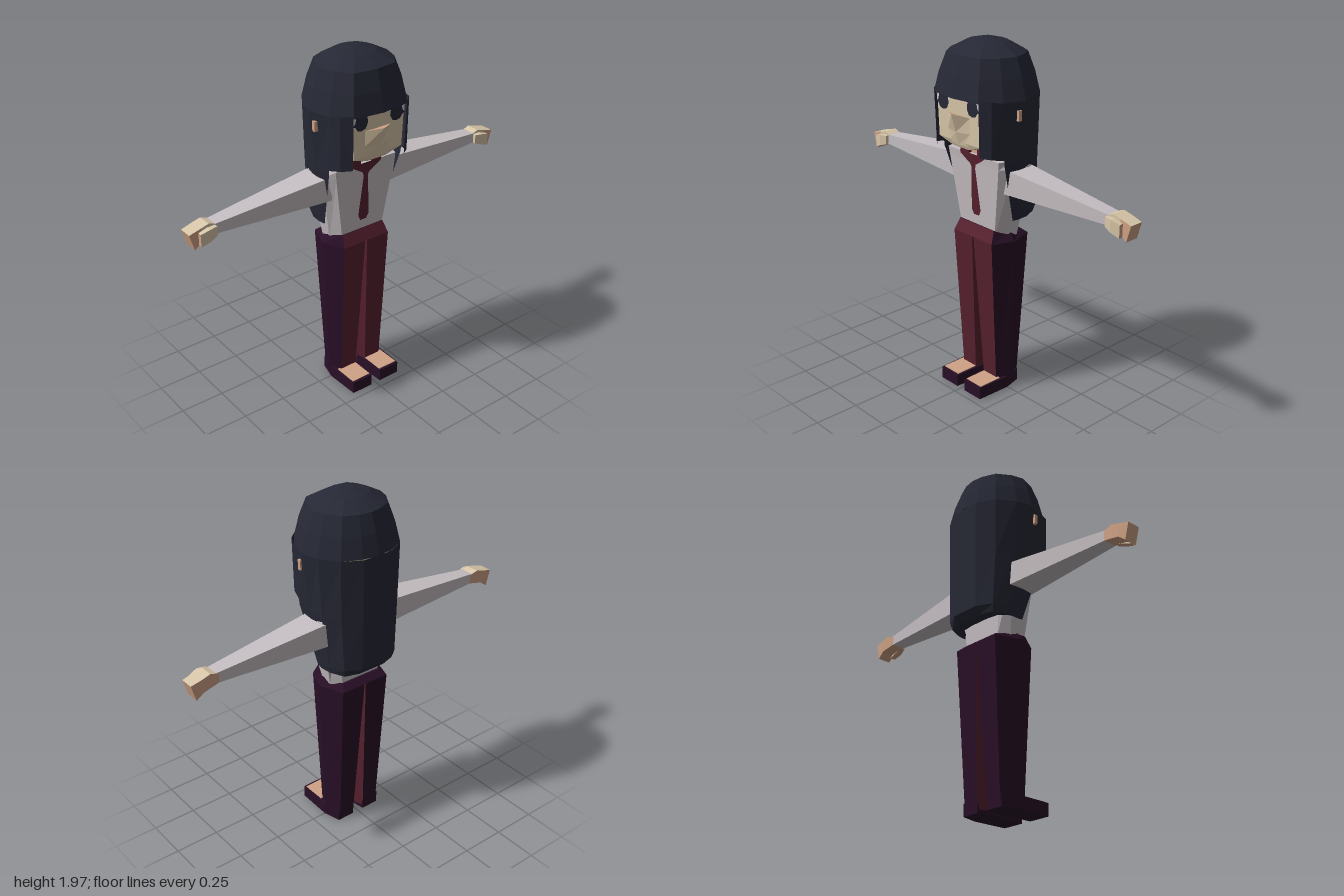
import * as THREE from 'three';

const mat = (name, color, side = THREE.FrontSide) => {
  const m = new THREE.MeshStandardMaterial({ color, side });
  m.name = name;
  return m;
};

export function createModel() {
  const hair = mat('hair', 0x262835, THREE.DoubleSide);
  const skin = mat('skin', 0xd8c6a8);
  const warm = mat('warmSkin', 0xcfa285);
  const shirt = mat('shirt', 0xc5bec2);
  const maroon = mat('maroon', 0x57212f, THREE.DoubleSide);
  const dark = mat('darkPurple', 0x290f27);
  const eyeWhite = mat('eyeWhite', 0xc9c9d0, THREE.DoubleSide);

  const model = new THREE.Group();
  model.name = 'figure';

  function add(name, geometry, material) {
    const mesh = new THREE.Mesh(geometry, material);
    mesh.name = name;
    model.add(mesh);
    return mesh;
  }

  // Faceted skin over matching rings; pick(ring, side) returns a material index.
  function loft(name, rings, mats, pick = () => 0, open = false) {
    const tris = mats.map(() => []);
    const n = rings[0].length;
    for (let r = 0; r < rings.length - 1; r++) {
      for (let i = 0; i < (open ? n - 1 : n); i++) {
        const j = (i + 1) % n, A = rings[r], B = rings[r + 1];
        tris[pick(r, i)].push(A[i], A[j], B[j], A[i], B[j], B[i]);
      }
    }
    if (!open) {
      const top = rings[rings.length - 1], bottom = rings[0];
      for (let i = 1; i < n - 1; i++) {
        tris[pick('top', i)].push(top[0], top[i], top[i + 1]);
        tris[pick('bottom', i)].push(bottom[0], bottom[i + 1], bottom[i]);
      }
    }
    const g = new THREE.BufferGeometry();
    let start = 0;
    tris.forEach((t, k) => { g.addGroup(start, t.length, k); start += t.length; });
    g.setAttribute('position', new THREE.Float32BufferAttribute(tris.flat(2), 3));
    g.computeVertexNormals();
    return add(name, g, mats);
  }

  // Copy a left-hand part to the other side of x = 0, turning its triangles round again.
  function mirror(mesh, name) {
    const g = mesh.geometry.index ? mesh.geometry.toNonIndexed() : mesh.geometry.clone();
    const p = g.attributes.position;
    for (let i = 0; i < p.count; i += 3) {
      const v = [0, 2, 1].map(k => new THREE.Vector3().fromBufferAttribute(p, i + k));
      v.forEach((q, k) => p.setXYZ(i + k, -q.x, q.y, q.z));
    }
    g.computeVertexNormals();
    add(name, g, mesh.material);
  }
  const pair = (name, make) => mirror(make('left' + name), 'right' + name);

  function box(name, m, x0, x1, y0, y1, z0, z1) {
    const g = new THREE.BoxGeometry(x1 - x0, y1 - y0, z1 - z0);
    g.translate((x0 + x1) / 2, (y0 + y1) / 2, (z0 + z1) / 2);
    return add(name, g, m);
  }

  // Thin sheet whose depth depends on height
  function plate(name, m, pts, zAt) {
    const g = new THREE.ShapeGeometry(new THREE.Shape(pts.map(p => new THREE.Vector2(...p))));
    const p = g.attributes.position;
    for (let i = 0; i < p.count; i++) p.setZ(i, zAt(p.getY(i)));
    g.computeVertexNormals();
    return add(name, g, m);
  }

  // Symmetric ring from [x, z] (or [x, z, y]) points listed front to back on the left.
  const ring = (y, half) => [
    ...half.map(([x, z, h = y]) => [x, h, z]),
    ...half.slice().reverse().map(([x, z, h = y]) => [-x, h, z]),
  ];

  // Torso
  loft('torso', [
    ring(0.92, [[0.13, 0.07], [0.165, 0], [0.165, -0.06], [0.12, -0.11]]),
    ring(1.32, [[0.19, 0.1], [0.235, 0.04], [0.235, -0.09], [0.15, -0.12]]),
    ring(1.365, [[0.195, 0.105], [0.215, 0.05], [0.215, -0.08], [0.14, -0.11]]),
  ], [shirt]);

  // Collar and tie follow the sloping chest
  const chest = y => 0.076 + (y - 0.95) * 0.078;
  plate('tie', maroon, [[-0.03, 1.34], [-0.014, 1.29], [-0.035, 1.05], [-0.02, 1.02],
    [0.02, 1.02], [0.035, 1.05], [0.014, 1.29], [0.03, 1.34]], chest);
  plate('collarPoint', maroon, [[-0.095, 1.37], [-0.09, 1.355], [0, 1.3], [0.09, 1.355], [0.095, 1.37]],
    y => chest(y) + 0.003);
  pair('Collar', n => box(n, maroon, 0.034, 0.097, 1.36, 1.405, -0.05, 0.105));
  box('neck', warm, -0.036, 0.036, 1.35, 1.45, -0.04, 0.085);

  // Trouser hips: maroon in front, dark elsewhere
  loft('hips', [
    ring(0.9, [[0.15, 0.11], [0.2, -0.01], [0.15, -0.155]]),
    ring(0.95, [[0.135, 0.08, 0.965], [0.165, -0.01], [0.12, -0.12, 0.93]]),
  ], [dark, maroon], (r, i) => (r === 0 && i === 5 ? 1 : 0));

  // Legs: front and inner faces maroon
  const level = (y, points) => points.map(([x, z]) => [x, y, z]);
  pair('Leg', n => loft(n, [
    level(0.02, [[0.036, 0.058], [0.135, 0.058], [0.166, -0.01], [0.13, -0.1], [0.036, -0.1], [0.016, -0.02]]),
    level(0.9, [[0.006, 0.11], [0.15, 0.11], [0.2, -0.01], [0.15, -0.155], [0.004, -0.155], [0, -0.02]]),
  ], [dark, maroon], (r, i) => (r === 0 && (i === 0 || i >= 4) ? 1 : 0)));

  // Shoes with the bare top of the foot
  const sole = [[0.03, 0.205], [0.16, 0.205], [0.166, 0], [0.14, -0.1], [0.035, -0.1], [0.02, 0]];
  pair('Shoe', n => loft(n, [level(0, sole), level(0.07, sole)], [dark]));
  pair('FootTop', n => box(n, warm, 0.036, 0.154, 0.067, 0.074, 0.05, 0.192));

  // Sleeves and hands run outward along x
  const slab = (x, y0, y1, z0, z1, xt = x) => [[x, y0, z1], [x, y0, z0], [xt, y1, z0], [xt, y1, z1]];
  pair('Sleeve', n => loft(n, [
    slab(0.19, 1.185, 1.32, -0.108, 0.062),
    slab(0.86, 1.2, 1.255, -0.065, 0.012),
  ], [shirt]));
  pair('Hand', n => loft(n, [
    slab(0.84, 1.2, 1.25, -0.066, 0.008),
    slab(0.89, 1.19, 1.267, -0.07, 0.01),
    slab(0.935, 1.18, 1.255, -0.072, 0.01),
    slab(0.975, 1.148, 1.238, -0.068, 0.01, 1.0),
  ], [warm, skin], (r, i) => ((r < 2 && i === 3) || (r < 3 && i === 2) ? 1 : 0)));
  pair('Thumb', n => loft(n, [
    slab(0.855, 1.2, 1.25, 0, 0.03),
    slab(0.9, 1.185, 1.25, 0, 0.042),
    slab(0.95, 1.165, 1.235, 0, 0.032),
  ], [skin, warm], (r, i) => (r === 'top' || i === 0 ? 1 : 0)));

  // Head
  loft('head', [
    ring(1.42, [[0.06, 0.185], [0.12, 0.1], [0.1, -0.1]]),
    ring(1.455, [[0.155, 0.198], [0.168, 0.13], [0.15, -0.13]]),
    ring(1.72, [[0.168, 0.2], [0.178, 0.13], [0.16, -0.14]]),
  ], [skin]);

  // Muzzle wedge with a warm top
  loft('nose', [
    [[-0.085, 1.44, 0.19], [0, 1.44, 0.203], [0.085, 1.44, 0.19]],
    [[-0.085, 1.51, 0.198], [0, 1.51, 0.22], [0.085, 1.51, 0.198]],
    [[-0.085, 1.595, 0.198], [0, 1.61, 0.25], [0.085, 1.595, 0.198]],
  ], [skin, warm], r => (r === 'top' ? 1 : 0));
  pair('Ear', n => box(n, warm, 0.2, 0.279, 1.59, 1.645, 0.024, 0.044));

  // Eyes
  pair('EyeWhite', n => plate(n, eyeWhite, [[0.07, 1.645], [0.165, 1.645], [0.168, 1.69], [0.07, 1.69]], () => 0.203));
  pair('Eye', n => plate(n, hair, [[0.07, 1.645], [0.085, 1.615], [0.11, 1.607], [0.135, 1.612], [0.15, 1.635],
    [0.168, 1.64], [0.15, 1.655], [0.145, 1.68], [0.125, 1.69], [0.08, 1.69], [0.074, 1.67]], () => 0.206));

  // Hair cap
  const outline = [[0, 0.243], [0.17, 0.22], [0.245, 0.12], [0.28, 0], [0.255, -0.09],
    [0.19, -0.19], [0.09, -0.235], [0, -0.25]];
  const crown = (y, s) => {
    const h = outline.map(([x, z]) => [x * s, y, z * s]);
    return [...h, ...h.slice(1, -1).reverse().map(([x, q, z]) => [-x, q, z])];
  };
  loft('hairCap', [[1.69, 1], [1.8, 0.9], [1.9, 0.76], [1.95, 0.42], [1.97, 0.12]].map(a => crown(...a)), [hair]);

  // Long back hair, open at the front, with a lip tucked under
  loft('backHair', [
    ring(1.03, [[0.17, -0.03], [0.17, -0.05], [0.165, -0.08], [0.13, -0.12], [0.06, -0.13]]),
    ring(1.02, [[0.195, 0], [0.2, -0.04], [0.195, -0.1], [0.16, -0.18], [0.08, -0.205]]),
    ring(1.06, [[0.2, 0.012], [0.206, -0.03], [0.203, -0.1], [0.17, -0.19], [0.085, -0.235]]),
    ring(1.36, [[0.235, 0.1], [0.245, 0], [0.235, -0.09], [0.185, -0.185], [0.088, -0.24]]),
    ring(1.69, [[0.245, 0.12], [0.28, 0], [0.255, -0.09], [0.19, -0.19], [0.09, -0.245]]),
  ], [hair], undefined, true);

  // Locks framing the face
  pair('SideLock', n => loft(n, [
    [[0.165, 1.405, 0.207], [0.215, 1.4, 0.17], [0.236, 1.385, 0.1]],
    [[0.17, 1.7, 0.218], [0.22, 1.7, 0.175], [0.245, 1.69, 0.12]],
  ], [hair], undefined, true));

  return model;
}
